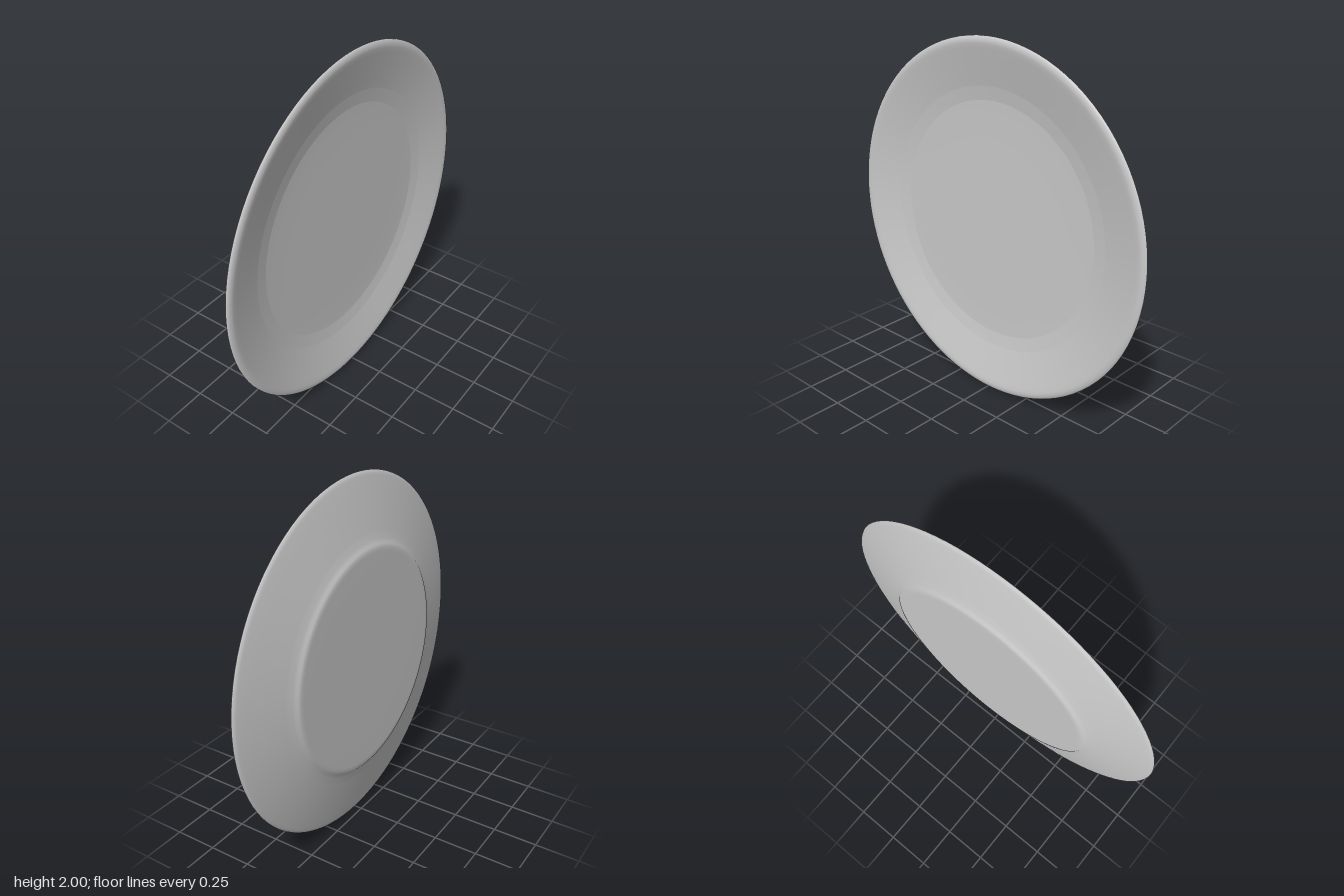
import * as THREE from 'three';

export function createModel() {
  const model = new THREE.Group();
  model.name = 'plate';
  const glaze = new THREE.MeshStandardMaterial({ color: 0xcacaca });
  glaze.name = 'light grey glaze';

  // Spins a [radius, depth] profile about the z axis through the plate's middle
  const addRing = (name, profile) => {
    const points = profile.map(([r, z]) => new THREE.Vector2(r, z));
    const geometry = new THREE.LatheGeometry(points, 96);
    geometry.rotateX(Math.PI / 2);
    const mesh = new THREE.Mesh(geometry, glaze);
    mesh.name = name;
    mesh.position.y = 1;
    model.add(mesh);
  };

  // Flat back with a rounded foot
  addRing('foot', [
    [0, -0.06], [0.4, -0.06], [0.6, -0.059], [0.62, -0.058],
    [0.635, -0.054], [0.645, -0.047], [0.665, -0.04], [0.7, -0.031],
  ]);

  // Sloping underside of the wide border
  addRing('borderBack', [
    [0.7, -0.031], [0.8, -0.008], [0.9, 0.015], [0.97, 0.032], [0.985, 0.037],
  ]);

  // Rounded outer lip
  addRing('lip', [
    [0.985, 0.037], [0.996, 0.042], [1, 0.047], [0.997, 0.052],
    [0.988, 0.057], [0.974, 0.06], [0.96, 0.059], [0.94, 0.055],
  ]);

  // Sloping front border
  addRing('borderFront', [[0.94, 0.055], [0.88, 0.042], [0.8, 0.024], [0.74, 0.011]]);

  // Gentler band around the well
  addRing('wellBand', [[0.74, 0.011], [0.7, 0.005], [0.665, 0]]);

  // Flat well in the middle of the front
  addRing('well', [[0.665, 0], [0.6, -0.002], [0.45, -0.003], [0, -0.003]]);

  return model;
}
